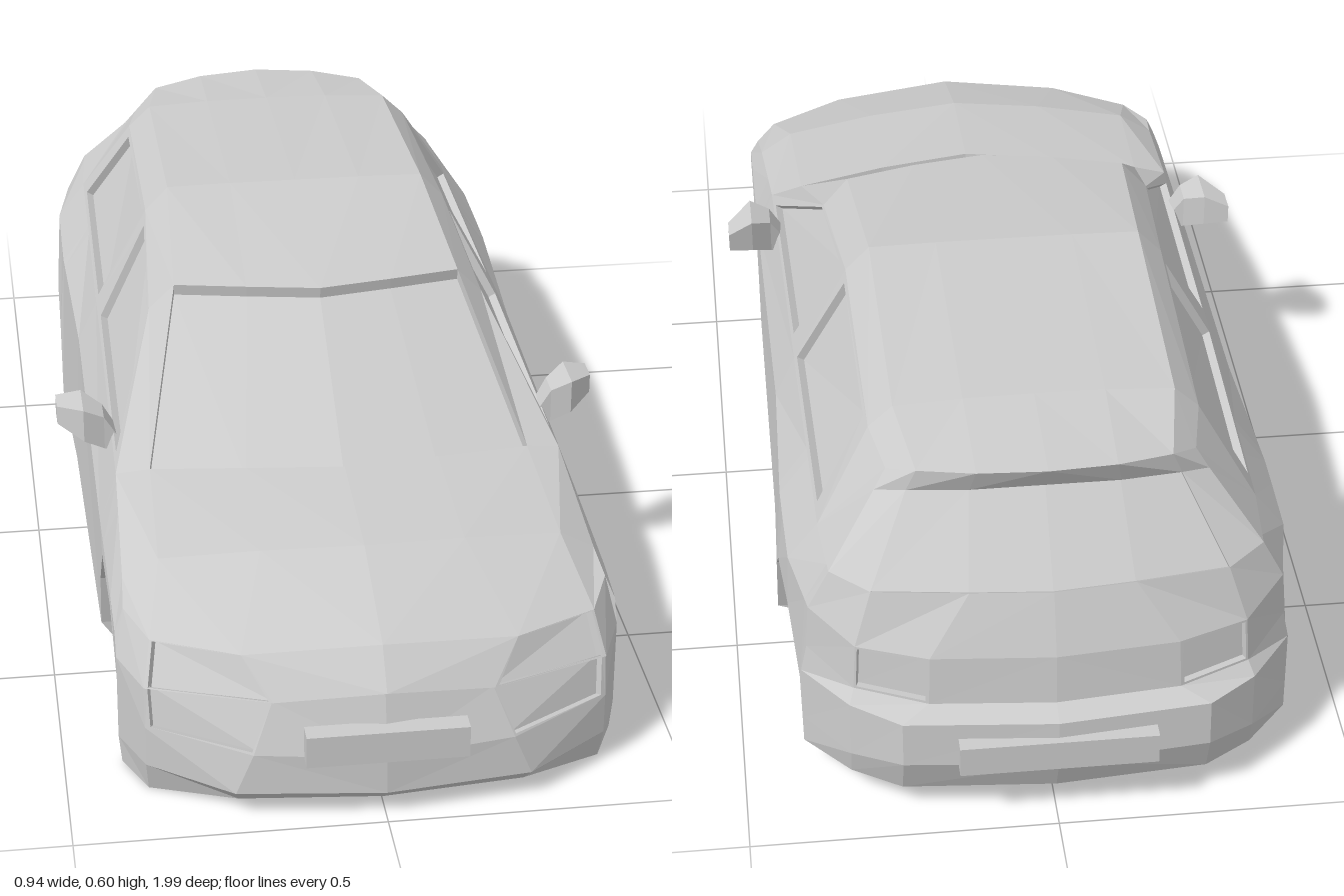
import * as THREE from 'three';

const V = (x, y, z) => new THREE.Vector3(x, y, z);

// Piecewise linear lookup along z: keys are [z, a, b] from front to back
function along(keys, z) {
  if (z >= keys[0][0]) return keys[0].slice(1);
  for (let i = 1; i < keys.length; i++) {
    const p = keys[i - 1], q = keys[i];
    if (z >= q[0]) {
      const t = (p[0] - z) / (p[0] - q[0]);
      return [1, 2].map((k) => p[k] + (q[k] - p[k]) * t);
    }
  }
  return keys[keys.length - 1].slice(1);
}

// Bowed cross rows of four points, centre line to side. A row holds the centre z,
// side z, half width, inner width fraction and four heights. The section sets
// the outer width fraction and how far the two middle points follow the bow.
const bowed = (rows, widthFraction, bow1, bow2) =>
  rows.map(([zc, zs, half, inner, ...y]) => {
    const x = [0, inner, widthFraction, 1], bow = [0, bow1, bow2, 1];
    return x.map((f, i) => V(half * f, y[i], zc + (zs - zc) * bow[i]));
  });

// Collects faces of the left half (+x) and mirrors them to the right
class HalfSurface {
  constructor() { this.tris = []; }
  tri(a, b, c) {
    const area = b.clone().sub(a).cross(c.clone().sub(a)).length();
    if (area > 1e-8) this.tris.push([a, b, c]);
  }
  quad(a, b, c, d) { this.tri(a, b, c); this.tri(a, c, d); }
  grid(rows, skip = []) {
    for (let j = 0; j < rows.length - 1; j++)
      for (let i = 0; i < rows[j].length - 1; i++)
        if (!skip.includes(`${j},${i}`))
          this.quad(rows[j][i], rows[j][i + 1], rows[j + 1][i + 1], rows[j + 1][i]);
  }
  // Four-sided panel with a sunken pane; uv gives the pane's corners
  recess(q, uv, depth) {
    const n = q[2].clone().sub(q[0]).cross(q[3].clone().sub(q[1])).normalize();
    const inner = uv.map(([u, v]) =>
      q[0].clone().lerp(q[1], u).lerp(q[3].clone().lerp(q[2], u), v));
    const deep = inner.map((p) => p.clone().addScaledVector(n, -depth));
    for (let i = 0; i < 4; i++) {
      const k = (i + 1) % 4;
      this.quad(q[i], q[k], inner[k], inner[i]);
      this.quad(inner[i], inner[k], deep[k], deep[i]);
    }
    this.quad(...deep);
  }
  // Full-width glass dropped below its surround
  pane(lo, hi, drop) {
    const g0 = lo.map((p) => p.clone().add(drop));
    const g1 = hi.map((p) => p.clone().add(drop));
    this.grid([lo, g0, g1, hi]);
    this.quad(lo[2], hi[2], g1[2], g0[2]);
  }
  mesh(name, material) {
    const out = [];
    for (const [a, b, c] of this.tris) {
      for (const p of [a, b, c]) out.push(p.x, p.y, p.z);
      for (const p of [a, c, b]) out.push(-p.x, p.y, p.z);
    }
    const geo = new THREE.BufferGeometry();
    geo.setAttribute('position', new THREE.Float32BufferAttribute(out, 3));
    geo.computeVertexNormals();
    const mesh = new THREE.Mesh(geo, material);
    mesh.name = name;
    return mesh;
  }
}

export function createModel() {
  const car = new THREE.Group();
  car.name = 'hatchbackBody';
  const material = new THREE.MeshStandardMaterial({ color: 0xcccccc, flatShading: true });
  const add = (name, build) => {
    const s = new HalfSurface();
    build(s);
    car.add(s.mesh(name, material));
  };

  // Nose: floor edge, lip, bumper, intakes, grille, grille lip, hood edge
  const nose = bowed([
    [0.775, 0.775, 0.405, 0.57, 0, 0, 0, 0],
    [0.95, 0.775, 0.405, 0.57, 0.015, 0.015, 0, 0],
    [0.985, 0.775, 0.41, 0.58, 0.045, 0.045, 0.055, 0.05],
    [0.985, 0.775, 0.41, 0.51, 0.11, 0.115, 0.125, 0.13],
    [0.955, 0.775, 0.41, 0.43, 0.212, 0.197, 0.195, 0.2],
    [0.972, 0.775, 0.41, 0.43, 0.222, 0.203, 0.195, 0.2],
    [0.92, 0.74, 0.395, 0.56, 0.28, 0.264, 0.258, 0.27],
  ], 0.91, 0.13, 0.54);
  // Deck: hood crease, cowl, roof front, roof crown, roof rear
  const deck = bowed([
    [0.72, 0.67, 0.39, 0.43, 0.345, 0.337, 0.32, 0.285],
    [0.49, 0.42, 0.38, 0.43, 0.365, 0.36, 0.35, 0.34],
    [0.18, 0.12, 0.295, 0.43, 0.55, 0.55, 0.547, 0.5],
    [-0.18, -0.18, 0.275, 0.43, 0.6, 0.6, 0.598, 0.555],
    [-0.62, -0.62, 0.27, 0.43, 0.585, 0.584, 0.578, 0.54],
  ], 0.85, 0.36, 0.86);
  // Tail: spoiler, glass top and base, lights, bumper, floor edge
  const tail = bowed([
    [-0.81, -0.72, 0.25, 0.45, 0.57, 0.566, 0.557, 0.53],
    [-0.785, -0.735, 0.27, 0.45, 0.525, 0.52, 0.515, 0.5],
    [-0.9, -0.81, 0.35, 0.38, 0.4, 0.4, 0.392, 0.4],
    [-0.94, -0.81, 0.385, 0.52, 0.3, 0.3, 0.3, 0.33],
    [-0.95, -0.81, 0.39, 0.52, 0.215, 0.215, 0.22, 0.25],
    [-0.985, -0.81, 0.4, 0.62, 0.2, 0.2, 0.2, 0.2],
    [-0.99, -0.81, 0.4, 0.62, 0.12, 0.12, 0.1, 0.1],
    [-0.96, -0.81, 0.4, 0.62, 0.05, 0.05, 0.05, 0.05],
    [-0.81, -0.81, 0.4, 0.62, 0.045, 0.045, 0.045, 0.05],
  ], 0.82, 0.13, 0.46);

  const cell = (a, b) => [a[1], a[2], b[2], b[1]];
  add('noseAndBumper', (s) => s.grid(nose, ['3,1', '5,1']));
  add('hoodAndRoof', (s) => s.grid([nose[6], ...deck, tail[0]], ['2,0', '2,1']));
  add('tailgateAndBumper', (s) => s.grid(tail, ['1,0', '1,1', '3,1']));
  add('headlights', (s) => s.recess(cell(nose[5], nose[6]),
    [[0.03, 0.03], [0.97, 0.03], [0.97, 0.98], [0.03, 0.98]], 0.018));
  add('frontIntakes', (s) => s.recess(cell(nose[3], nose[4]),
    [[0.02, 0.05], [0.95, 0.05], [0.97, 0.97], [0.03, 0.97]], 0.014));
  add('tailLights', (s) => s.recess(cell(tail[3], tail[4]),
    [[0.05, 0.05], [0.97, 0.05], [0.97, 0.95], [0.05, 0.95]], 0.012));
  add('windshield', (s) =>
    s.pane(deck[1].slice(0, 3), deck[2].slice(0, 3), V(0, -0.02, -0.003)));
  add('rearWindow', (s) =>
    s.pane(tail[1].slice(0, 3), tail[2].slice(0, 3), V(0, -0.008, 0.012)));

  // Side columns: [z, lower edge height, inner x of the underside]
  const well = 0.29, sill = 0.385;
  const columns = [
    [0.775, 0, 0.405], [0.775, 0, well], [0.755, 0.14, well], [0.67, 0.235, well],
    [0.51, 0.235, well], [0.44, 0.15, well], [0.42, 0.05, well], [0.42, 0.05, sill],
    [-0.18, 0.05, sill], [-0.46, 0.05, sill], [-0.46, 0.05, well], [-0.49, 0.17, well],
    [-0.56, 0.235, well], [-0.68, 0.235, well], [-0.79, 0.17, well], [-0.81, 0.05, well],
    [-0.81, 0.05, 0.395],
  ];
  const lowKeys = [[0.775, 0.405, 0], [0.74, 0.411, 0], [-0.18, 0.416, 0], [-0.46, 0.425, 0],
    [-0.6, 0.422, 0], [-0.81, 0.4, 0]];
  const midKeys = [[0.775, 0.41, 0.2], [0.755, 0.41, 0.235], [0.67, 0.41, 0.248],
    [0.42, 0.41, 0.262], [-0.18, 0.405, 0.3], [-0.5, 0.414, 0.32], [-0.68, 0.41, 0.33],
    [-0.81, 0.385, 0.33]];
  const beltKeys = [[0.74, 0.395, 0.27], [0.67, 0.39, 0.285], [0.42, 0.38, 0.34],
    [-0.18, 0.37, 0.375], [-0.68, 0.36, 0.395], [-0.81, 0.35, 0.4]];
  const belt = (z) => V(...along(beltKeys, z), Math.min(z, 0.74));
  const floorY = (z) => (0.775 - z) * 0.0284;
  add('sidesWheelWellsAndFloor', (s) => s.grid([
    columns.map(([z]) => V(0, floorY(z), z)),
    columns.map(([z, , x]) => V(x, floorY(z), z)),
    columns.map(([z, low, x]) => V(x, x === well ? low : floorY(z), z)),
    columns.map(([z, low]) => V(along(lowKeys, z)[0], low, z)),
    columns.map(([z]) => V(...along(midKeys, z), z)),
    columns.map(([z]) => belt(z)),
  ]));

  // Side glass with its pillars, and the rear quarter panel
  const rail = [deck[2], deck[3], deck[4], ...tail.slice(0, 3)].map((row) => row[3]);
  add('frontSideWindows', (s) => s.recess([belt(0.42), belt(-0.18), rail[1], rail[0]],
    [[0.07, 0.05], [0.88, 0.05], [0.88, 0.96], [0.04, 0.95]], 0.014));
  add('rearSideWindows', (s) => s.recess([belt(-0.18), belt(-0.68), rail[2], rail[1]],
    [[0.02, 0.05], [0.9, 0.05], [0.9, 0.95], [0.06, 0.95]], 0.014));
  add('rearQuarterPanels', (s) => {
    for (let j = 2; j < 5; j++) s.tri(belt(-0.68), rail[j + 1], rail[j]);
  });

  // Door mirrors: rings from the body outwards, [x, y0, y1, back z, front z]
  add('doorMirrors', (s) => {
    const rings = [[0.365, 0.315, 0.345, 0.26, 0.3], [0.39, 0.325, 0.385, 0.25, 0.3],
      [0.425, 0.343, 0.402, 0.225, 0.305], [0.468, 0.355, 0.388, 0.21, 0.255]]
      .map(([x, y0, y1, b, f]) => [V(x, y1, b), V(x, y1, f), V(x, y0, f), V(x, y0, b)]);
    s.grid(rings.map((r) => [...r, r[0]]));
    s.quad(...rings[3]);
    s.quad(...rings[0].slice().reverse());
  });

  // Number plates
  for (const [name, w, y, z] of [['frontPlate', 0.26, 0.137, 0.978], ['rearPlate', 0.32, 0.145, -0.982]]) {
    const plate = new THREE.Mesh(new THREE.BoxGeometry(w, 0.055, 0.034), material);
    plate.name = name;
    plate.position.set(0, y, z);
    car.add(plate);
  }
  return car;
}
